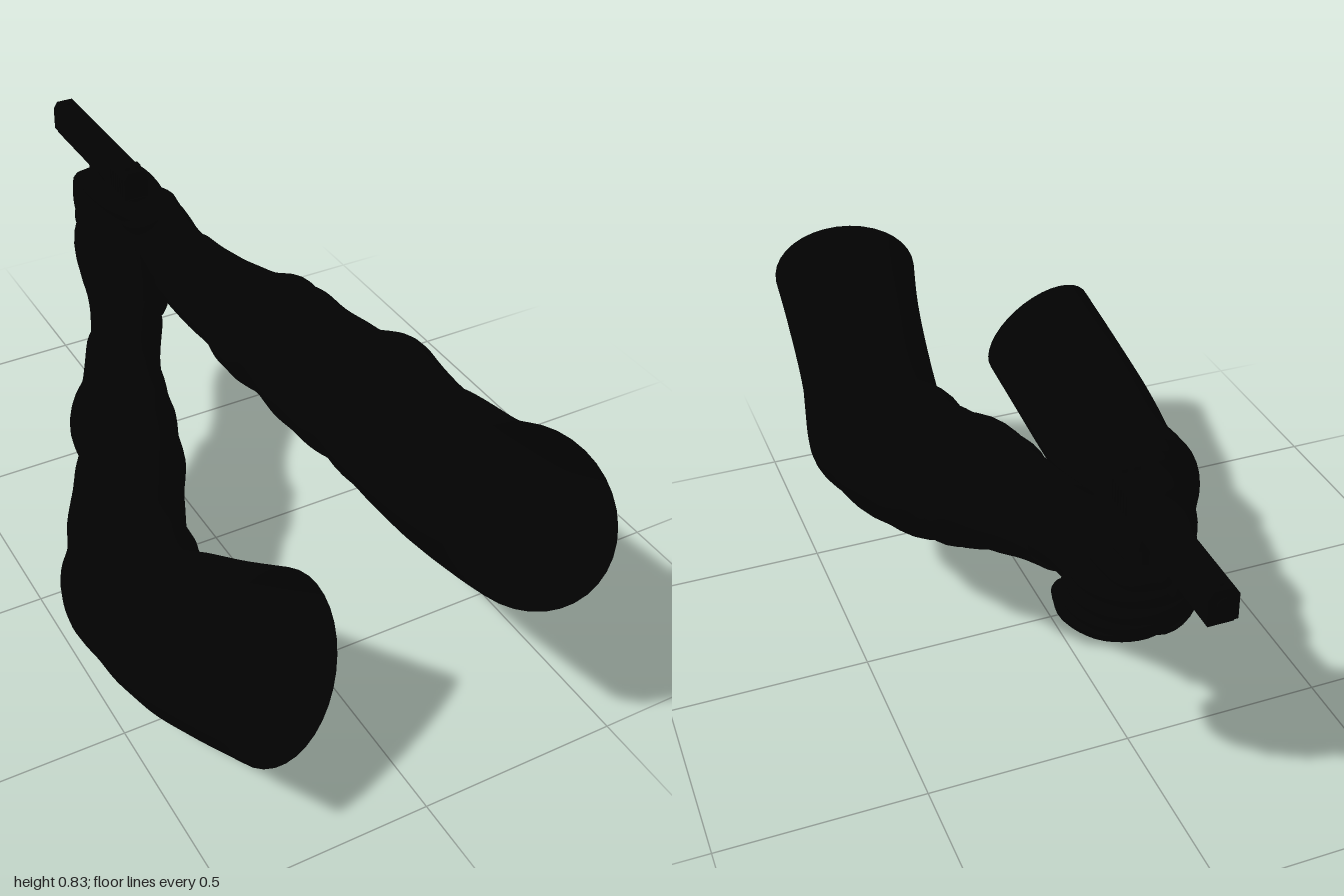
import * as THREE from 'three';

const black = new THREE.MeshStandardMaterial({ color: 0x020202, side: THREE.DoubleSide });
black.name = 'matte black';

function add(group, name, geometry, x = 0, y = 0, z = 0) {
  const mesh = new THREE.Mesh(geometry, black);
  mesh.name = name;
  mesh.position.set(x, y, z);
  group.add(mesh);
  return mesh;
}

// Smooth tube through rings [z, cx, cy, rx, ry, leanY, leanX]; the leans tip each ring in z. Folds add cloth wrinkles.
function ringTube(rings, folds = 0, steps = 90, sides = 36) {
  const sample = (t, k) => {
    const f = t * (rings.length - 1), i = Math.min(Math.floor(f), rings.length - 2), u = f - i;
    const at = j => rings[Math.max(0, Math.min(rings.length - 1, j))][k];
    const [a, b, c, d] = [at(i - 1), at(i), at(i + 1), at(i + 2)];
    return b + 0.5 * u * (c - a + u * (2 * a - 5 * b + 4 * c - d + u * (3 * (b - c) + d - a)));
  };
  const pos = [], index = [];
  for (let s = 0; s <= steps; s++) {
    const t = s / steps, [z, cx, cy, rx, ry, leanY, leanX] = [0, 1, 2, 3, 4, 5, 6].map(k => sample(t, k));
    const zone = Math.sin(Math.PI * Math.min(1, Math.max(0, (t - 0.2) / 0.75)));
    for (let j = 0; j < sides; j++) {
      const a = j / sides * Math.PI * 2;
      const wrinkle = 1 + folds * zone * (Math.sin(t * 62 + 1.6 * Math.sin(a + 1)) + 0.5 * Math.sin(t * 35 + 2 * a));
      const dx = Math.cos(a) * rx * wrinkle, dy = Math.sin(a) * ry * wrinkle;
      pos.push(cx + dx, cy + dy, z + leanY * dy + leanX * dx);
      if (s < steps) {
        const p = s * sides + j, q = s * sides + (j + 1) % sides;
        index.push(p, p + sides, q, q, p + sides, q + sides);
      }
    }
  }
  const g = new THREE.BufferGeometry();
  g.setAttribute('position', new THREE.Float32BufferAttribute(pos, 3));
  g.setIndex(index);
  g.computeVertexNormals();
  return g;
}

// Bent finger with rounded ends
function finger(group, name, points, r) {
  const pts = points.map(p => new THREE.Vector3(...p));
  const part = new THREE.Group();
  part.name = name;
  group.add(part);
  add(part, name + 'Joints', new THREE.TubeGeometry(new THREE.CatmullRomCurve3(pts), 24, r, 12));
  for (const p of [pts[0], pts[pts.length - 1]]) add(part, name + 'End', new THREE.SphereGeometry(r, 12, 8), p.x, p.y, p.z);
}

function blob(group, name, c, s, tilt = [0, 0, 0]) {
  const m = add(group, name, new THREE.SphereGeometry(1, 24, 16), ...c);
  m.scale.set(...s);
  m.rotation.set(...tilt);
}

function buildPistol() {
  const gun = new THREE.Group();
  gun.name = 'pistol';
  const X = 0.046;
  // Slide with bevelled upper edges
  const section = new THREE.Shape([[-0.033, 0], [0.033, 0], [0.033, 0.06], [0.022, 0.077], [-0.022, 0.077], [-0.033, 0.06]]
    .map(p => new THREE.Vector2(...p)));
  add(gun, 'slide', new THREE.ExtrudeGeometry(section, { depth: 0.465, bevelEnabled: false }), X, 0.738, -0.998);
  add(gun, 'frame', new THREE.BoxGeometry(0.056, 0.02, 0.43), X, 0.738, -0.775);
  add(gun, 'beavertail', new THREE.BoxGeometry(0.05, 0.02, 0.09), X, 0.73, -0.575);
  add(gun, 'frontSight', new THREE.BoxGeometry(0.01, 0.008, 0.02), X, 0.817, -0.975);
  for (const side of [-1, 1]) {
    add(gun, 'rearSight', new THREE.BoxGeometry(0.014, 0.012, 0.02), X + side * 0.014, 0.818, -0.56);
    for (let i = 0; i < 6; i++)
      add(gun, 'slideSerration', new THREE.BoxGeometry(0.004, 0.05, 0.006), X + side * 0.033, 0.77, -0.55 - i * 0.014);
  }
  const muzzle = add(gun, 'muzzle', new THREE.CylinderGeometry(0.016, 0.016, 0.008, 16), X, 0.78, -0.997);
  muzzle.rotation.x = Math.PI / 2;
  // Grip leans back toward the wrist
  const grip = add(gun, 'grip', new THREE.BoxGeometry(0.052, 0.26, 0.1), X, 0.61, -0.6);
  grip.rotation.x = -0.28;
  const base = add(gun, 'magazineBase', new THREE.BoxGeometry(0.058, 0.02, 0.11), X, 0.485, -0.565);
  base.rotation.x = -0.28;
  const guard = [[0.735, -0.69], [0.67, -0.7], [0.658, -0.74], [0.66, -0.8], [0.69, -0.815], [0.735, -0.83]]
    .map(([y, z]) => new THREE.Vector3(X, y, z));
  add(gun, 'triggerGuard', new THREE.TubeGeometry(new THREE.CatmullRomCurve3(guard), 24, 0.01, 8));
  const trigger = add(gun, 'trigger', new THREE.BoxGeometry(0.014, 0.05, 0.012), X, 0.705, -0.745);
  trigger.rotation.x = 0.2;
  return gun;
}

export function createModel() {
  const model = new THREE.Group();
  model.name = 'armsWithPistol';

  // Sleeves: open at the shoulder, bent at the elbow, tapering to the cuff
  add(model, 'gripArmSleeve', ringTube([
    [0.882, 0.268, 0.64, 0.18, 0.185, -0.53, 0.36], [0.75, 0.285, 0.575, 0.17, 0.183, -0.46, 0.3],
    [0.55, 0.31, 0.507, 0.168, 0.187, -0.35, 0.15], [0.35, 0.34, 0.452, 0.18, 0.165, -0.1, 0],
    [0.22, 0.325, 0.475, 0.173, 0.19, 0, -0.1], [0.1, 0.285, 0.472, 0.152, 0.18, 0.1, -0.15],
    [-0.03, 0.242, 0.512, 0.14, 0.172, 0.1, -0.15], [-0.12, 0.213, 0.53, 0.154, 0.15, 0.1, -0.15],
    [-0.2, 0.18, 0.542, 0.12, 0.132, 0.1, -0.1], [-0.32, 0.14, 0.562, 0.102, 0.116, 0.1, 0],
    [-0.4, 0.122, 0.578, 0.094, 0.108, 0.1, 0]], 0.018));
  add(model, 'supportArmSleeve', ringTube([
    [0.805, -0.28, 0.39, 0.175, 0.18, -0.52, -0.33], [0.65, -0.31, 0.31, 0.175, 0.182, -0.42, -0.25],
    [0.5, -0.335, 0.237, 0.17, 0.188, -0.35, -0.1], [0.35, -0.35, 0.182, 0.163, 0.177, -0.15, 0],
    [0.22, -0.345, 0.186, 0.172, 0.182, 0.1, 0.1], [0.12, -0.31, 0.22, 0.15, 0.18, 0.2, 0.15],
    [0, -0.245, 0.275, 0.145, 0.177, 0.2, 0.15], [-0.1, -0.198, 0.322, 0.128, 0.168, 0.2, 0.15],
    [-0.2, -0.176, 0.36, 0.13, 0.145, 0.2, 0.1], [-0.27, -0.135, 0.396, 0.112, 0.128, 0.2, 0],
    [-0.37, -0.076, 0.442, 0.11, 0.12, 0.2, 0]], 0.018));

  // Gloved wrists and palms
  add(model, 'gripWrist', ringTube([
    [-0.36, 0.13, 0.57, 0.085, 0.1, 0.1, 0], [-0.45, 0.115, 0.592, 0.083, 0.102, 0.1, 0],
    [-0.52, 0.105, 0.61, 0.088, 0.115, 0.1, 0], [-0.6, 0.098, 0.62, 0.082, 0.112, 0.1, 0],
    [-0.67, 0.09, 0.615, 0.065, 0.09, 0.1, 0], [-0.72, 0.085, 0.61, 0.01, 0.02, 0.1, 0]], 0, 30, 24));
  add(model, 'supportWrist', ringTube([
    [-0.33, -0.095, 0.425, 0.098, 0.108, 0.2, 0], [-0.43, -0.045, 0.468, 0.1, 0.108, 0.2, 0],
    [-0.52, -0.012, 0.505, 0.1, 0.122, 0.2, 0], [-0.6, -0.008, 0.54, 0.09, 0.13, 0.1, 0],
    [-0.68, 0.005, 0.57, 0.082, 0.115, 0, 0], [-0.75, 0.02, 0.58, 0.03, 0.05, 0, 0]], 0, 30, 24));
  blob(model, 'gripThumbBase', [0.075, 0.682, -0.535], [0.075, 0.052, 0.07]);
  blob(model, 'supportPalmHeel', [0.04, 0.455, -0.55], [0.085, 0.065, 0.115], [0.4, 0, 0]);

  // Support fingers wrap round the front of the grip to the far side
  for (let i = 0; i < 4; i++) {
    const y = 0.632 - i * 0.05, back = i * i * 0.009;
    finger(model, 'supportFinger', [[-0.05, y - 0.015, -0.63 + back], [-0.02, y, -0.715 + back], [0.05, y, -0.745 + back],
      [0.13, y, -0.718 + back], [0.175, y + 0.008, -0.655 + back], [0.168, y + 0.012, -0.59 + back]], 0.031);
  }
  // Grip fingers curl under the guard
  for (let i = 0; i < 3; i++) {
    const y = 0.635 - i * 0.052, back = i * 0.018;
    finger(model, 'gripFinger', [[0.13, y, -0.58 + back], [0.115, y, -0.68 + back], [0.045, y, -0.71 + back],
      [-0.01, y, -0.67 + back], [-0.015, y, -0.6 + back]], 0.028);
  }
  finger(model, 'triggerFinger', [[0.13, 0.665, -0.56], [0.142, 0.685, -0.66], [0.125, 0.692, -0.755], [0.07, 0.695, -0.775]], 0.026);
  // Thumbs lie along the side of the frame
  finger(model, 'gripThumb', [[0.045, 0.695, -0.51], [-0.002, 0.718, -0.57], [-0.018, 0.728, -0.65], [-0.008, 0.722, -0.71]], 0.031);
  finger(model, 'supportThumb', [[-0.05, 0.585, -0.56], [-0.045, 0.63, -0.63], [-0.028, 0.66, -0.71], [0, 0.682, -0.775]], 0.03);

  model.add(buildPistol());
  return model;
}
